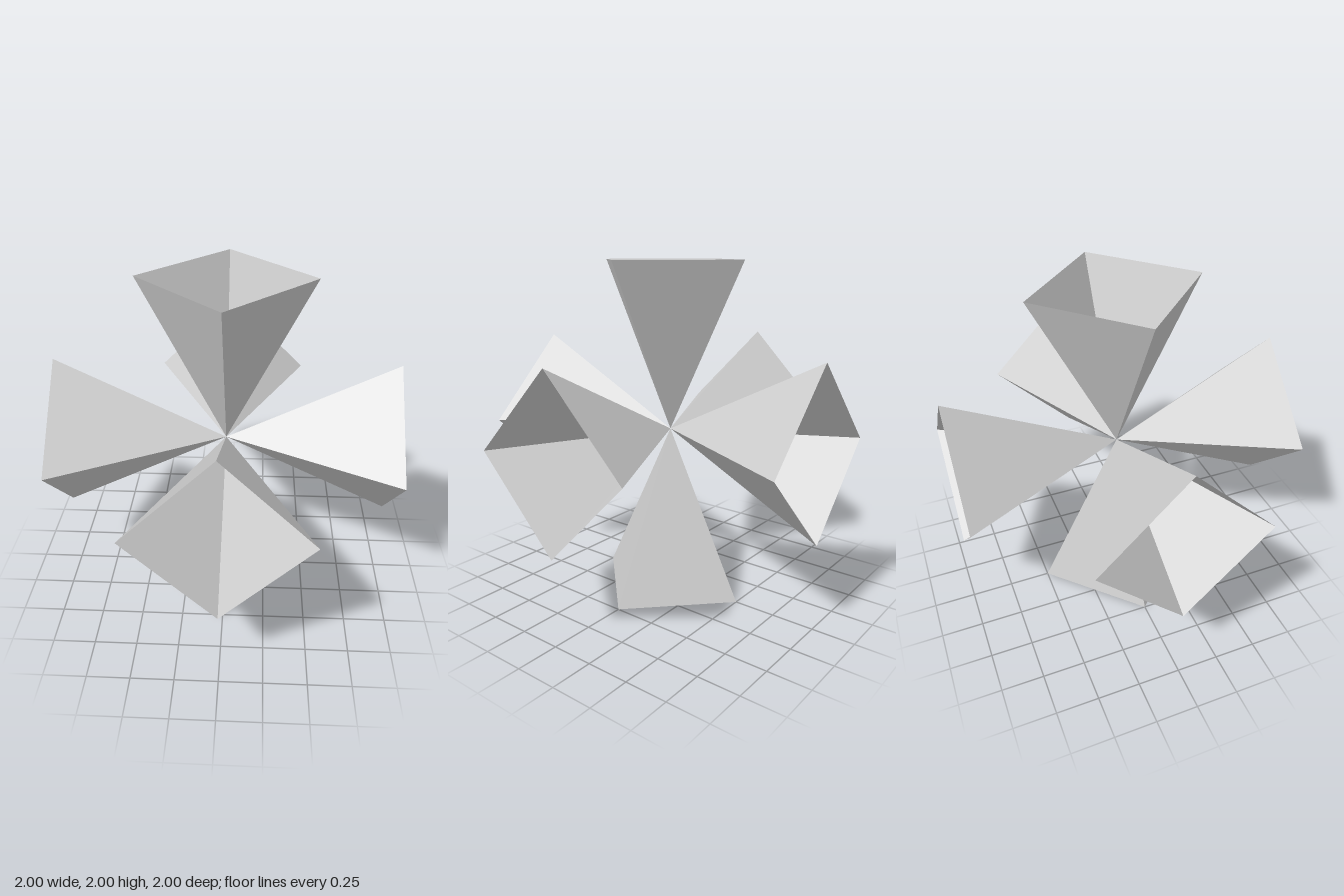
import * as THREE from 'three';

export function createModel() {
  const model = new THREE.Group();
  model.name = 'pyramidStar';

  const material = new THREE.MeshStandardMaterial({
    color: 0xcccccc, flatShading: true, side: THREE.DoubleSide,
  });

  // Open four-sided pyramid: tip at the origin, hollow mouth at y = 1
  const pyramid = new THREE.ConeGeometry(0.5, 1, 4, 1, true);
  pyramid.translate(0, -0.5, 0).rotateX(Math.PI);

  // Six pyramids meeting tip to tip at the centre, one along each axis direction
  const q = Math.PI / 2;
  const arms = [
    ['topPyramid', 0, 0],
    ['bottomPyramid', Math.PI, 0],
    ['frontPyramid', q, 0],
    ['backPyramid', -q, 0],
    ['leftPyramid', 0, -q],
    ['rightPyramid', 0, q],
  ];
  for (const [name, rx, rz] of arms) {
    const arm = new THREE.Mesh(pyramid, material);
    arm.name = name;
    arm.position.y = 1;
    arm.rotation.set(rx, 0, rz);
    model.add(arm);
  }
  return model;
}
